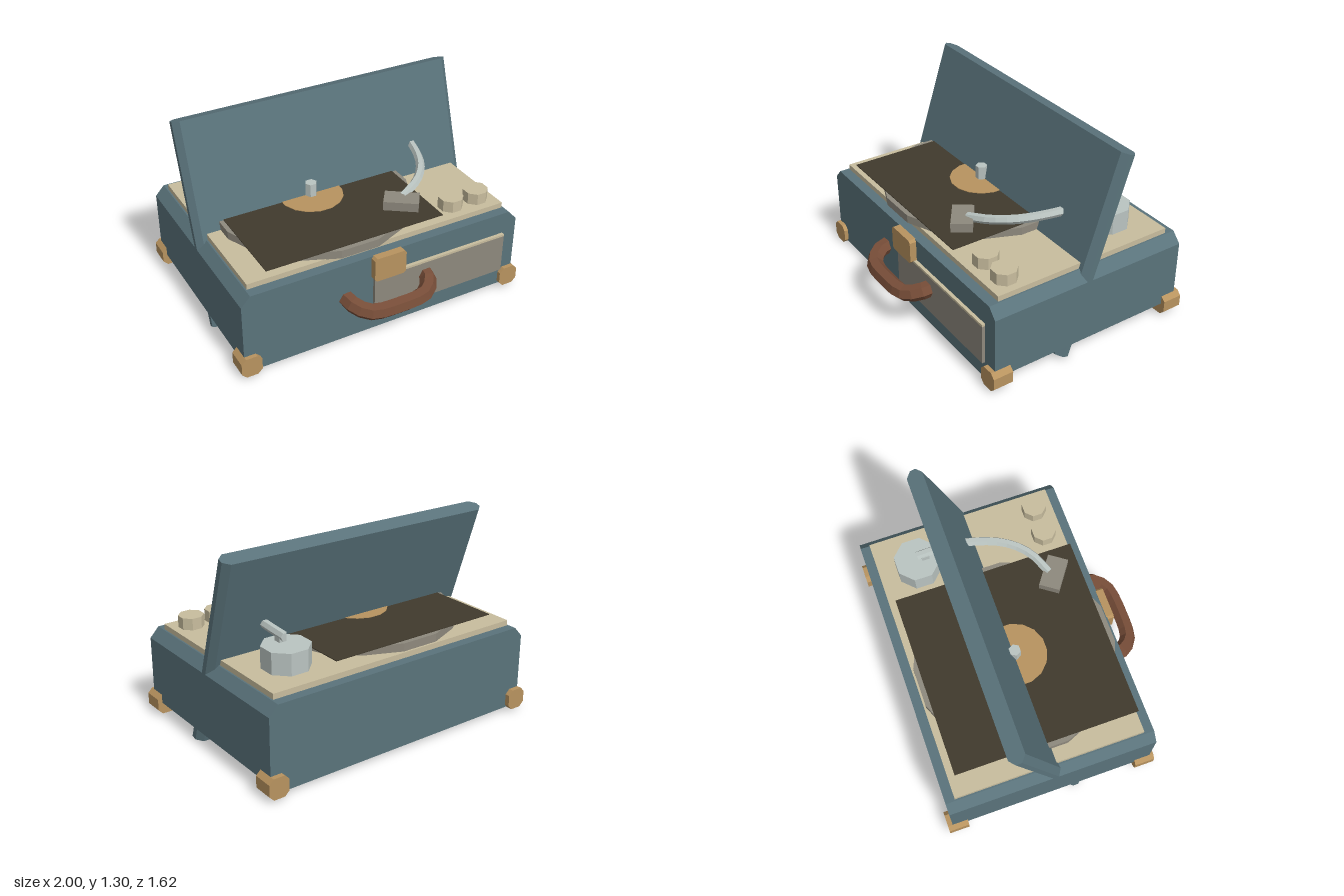
import * as THREE from 'three';

export function createModel() {
  const model = new THREE.Group();
  model.name = 'suitcaseRecordPlayer';

  const mat = (name, color) => {
    const m = new THREE.MeshStandardMaterial({ color });
    m.name = name;
    return m;
  };
  const teal = mat('teal leatherette', 0x5a737b);
  const cream = mat('cream', 0xc8bd9e);
  const taupe = mat('taupe metal', 0x8e897d);
  const silver = mat('silver', 0xbac4c1);
  const brass = mat('brass', 0xb8935f);
  const brown = mat('brown leather', 0x774d38);
  const vinyl = mat('dark vinyl', 0x403a2d);

  // Adds a faceted mesh at a position
  const add = (name, geo, material, x = 0, y = 0, z = 0) => {
    const g = geo.index ? geo.toNonIndexed() : geo;
    g.computeVertexNormals();
    const mesh = new THREE.Mesh(g, material);
    mesh.name = name;
    mesh.position.set(x, y, z);
    model.add(mesh);
    return mesh;
  };

  // Block with its four long edges cut off, running along z
  const chamfered = (w, h, d, cx, cy) => {
    const a = w / 2, b = h / 2;
    const pts = [[-a + cx, -b], [a - cx, -b], [a, -b + cy], [a, b - cy],
      [a - cx, b], [-a + cx, b], [-a, b - cy], [-a, -b + cy]];
    const shape = new THREE.Shape(pts.map(p => new THREE.Vector2(...p)));
    return new THREE.ExtrudeGeometry(shape, { depth: d, bevelEnabled: false }).translate(0, 0, -d / 2);
  };

  // Upright prism whose flat sides face the axes
  const prism = (apothem, h, n) => {
    const r = apothem / Math.cos(Math.PI / n);
    return new THREE.CylinderGeometry(r, r, h, n, 1, false, Math.PI / n);
  };

  const tube = (pts, r, steps, sides) => {
    const curve = new THREE.CatmullRomCurve3(pts.map(p => new THREE.Vector3(...p)));
    return new THREE.TubeGeometry(curve, steps, r, sides, false);
  };

  // Case and the leaning lid that runs down through it
  add('caseBody', chamfered(1.94, 0.55, 1.38, 0.06, 0.065), teal, 0, 0.307, -0.09);
  add('lid', chamfered(1.94, 0.107, 1.33, 0.04, 0.035), teal, 0, 0.653, -0.12).rotation.x = -1.885;
  add('deck', new THREE.BoxGeometry(1.8, 0.04, 1.25), cream, 0, 0.598, -0.092);

  // Platter, square record, round label and spindle
  const cx = -0.17, cz = -0.067;
  add('platter', prism(0.637, 0.054, 16), taupe, cx, 0.643, cz);
  add('record', new THREE.BoxGeometry(1.215, 0.005, 1.21), vinyl, cx, 0.6725, cz);
  add('recordLabel', prism(0.205, 0.004, 16), brass, cx, 0.677, cz);
  add('spindle', prism(0.034, 0.1, 6), silver, cx, 0.717, cz);

  // Tonearm
  add('tonearmBase', prism(0.14, 0.14, 8), silver, 0.635, 0.686, -0.455);
  add('tonearmPost', new THREE.BoxGeometry(0.05, 0.06, 0.05), silver, 0.635, 0.775, -0.4);
  add('tonearm', tube([[0.637, 0.797, -0.45], [0.635, 0.806, -0.25], [0.61, 0.803, -0.08],
    [0.535, 0.79, 0.12], [0.42, 0.77, 0.25], [0.27, 0.74, 0.325]], 0.029, 14, 6), silver);
  add('tonearmHead', new THREE.BoxGeometry(0.22, 0.06, 0.135), taupe, 0.25, 0.725, 0.35).rotation.y = -0.62;

  // Control knobs
  for (const x of [0.585, 0.775]) add('knob', prism(0.076, 0.08, 8), cream, x, 0.655, 0.405);

  // Corner guards
  for (const x of [-0.933, 0.933])
    for (const z of [-0.745, 0.56])
      add('cornerGuard', chamfered(0.134, 0.135, 0.135, 0.03, 0.03), brass, x, 0.087, z);

  // Front panel with trim, and clasp
  add('frontPanel', new THREE.BoxGeometry(0.965, 0.265, 0.03), taupe, 0.3875, 0.2875, 0.607);
  add('panelTrim', new THREE.BoxGeometry(0.965, 0.015, 0.03), cream, 0.3875, 0.4275, 0.607);
  add('clasp', chamfered(0.22, 0.165, 0.05, 0.015, 0.015), brass, 0, 0.502, 0.62);

  // Carrying handle
  const handlePath = [[-0.28, 0.328, 0.595], [-0.275, 0.322, 0.645], [-0.2, 0.292, 0.735], [0, 0.285, 0.757],
    [0.2, 0.292, 0.735], [0.275, 0.322, 0.645], [0.28, 0.328, 0.595]];
  add('handle', tube(handlePath, 0.054, 12, 6), brown);

  return model;
}
